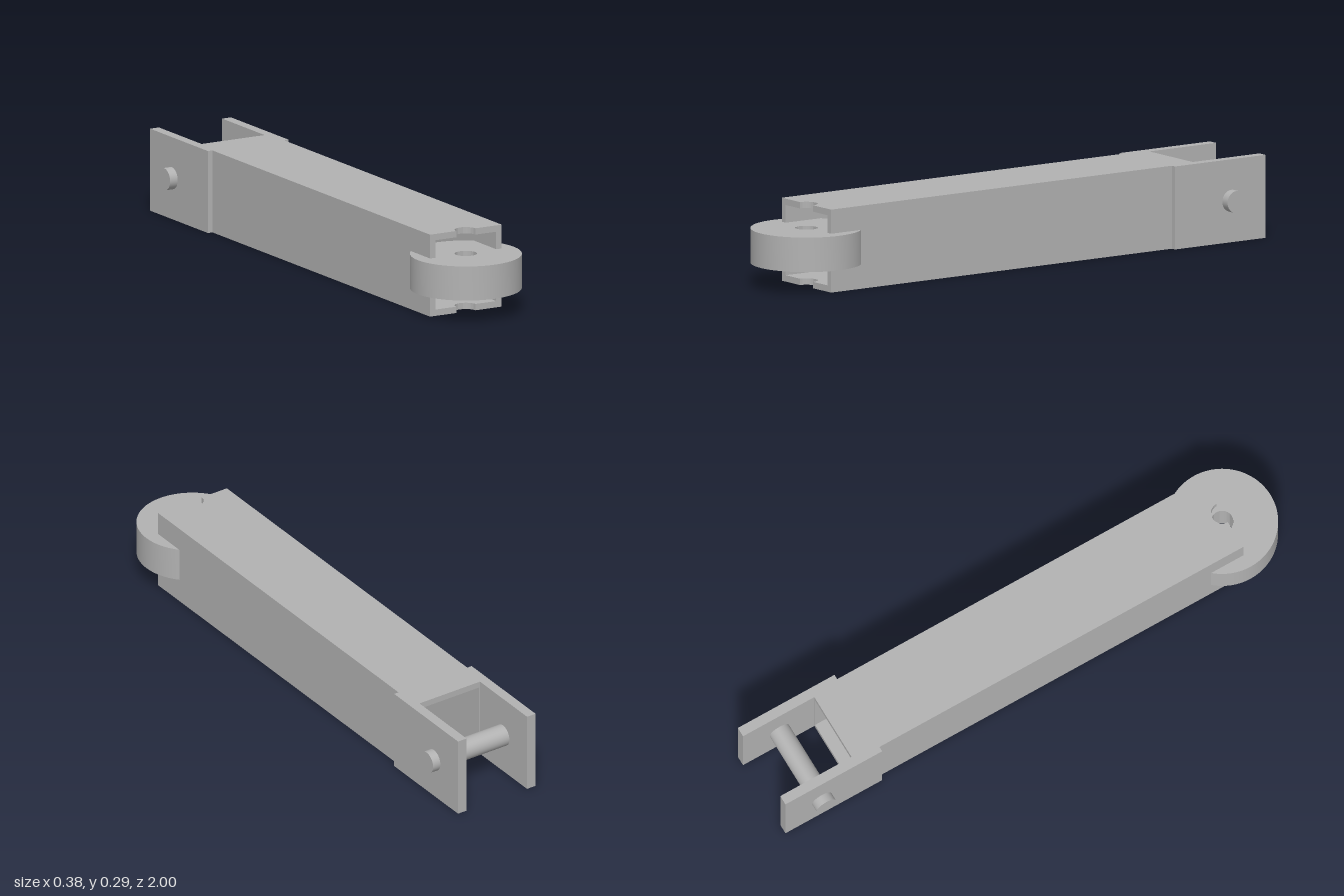
import * as THREE from 'three';
import { toCreasedNormals } from 'three/addons/utils/BufferGeometryUtils.js';

const H = 0.286, WALL = 0.022, HALF = 0.142;   // arm height, wall thickness, half width
const PIVOT_Z = 0.81, HOLE = 0.038;            // wheel axis and bore radius
const TUBE_END = -0.72;

export function createModel() {
  const model = new THREE.Group();
  model.name = 'linkArm';
  const steel = new THREE.MeshStandardMaterial({ color: 0xb2b2b2 });
  steel.name = 'grey steel';

  const add = (name, geometry, x = 0, y = 0, z = 0) => {
    const mesh = new THREE.Mesh(geometry, steel);
    mesh.name = name;
    mesh.position.set(x, y, z);
    model.add(mesh);
    return mesh;
  };

  // Extrudes an (x, z) outline upwards from y = 0
  const slab = (shape, height) => {
    const g = new THREE.ExtrudeGeometry(shape, { depth: height, bevelEnabled: false, curveSegments: 48 });
    g.rotateX(Math.PI / 2).translate(0, height, 0);
    return toCreasedNormals(g, 0.6);
  };

  // Top and bottom of the square tube, with a half-round notch at the front end
  const plate = new THREE.Shape();
  plate.moveTo(-HALF, TUBE_END);
  plate.lineTo(HALF, TUBE_END);
  plate.lineTo(HALF, PIVOT_Z);
  plate.lineTo(HOLE, PIVOT_Z);
  plate.absarc(0, PIVOT_Z, HOLE, 0, Math.PI, true);
  plate.lineTo(-HALF, PIVOT_Z);
  plate.closePath();
  add('tubeBottom', slab(plate, WALL));
  add('tubeTop', slab(plate, WALL), 0, H - WALL);

  // Side walls and the stepped fork cheeks at the back
  for (const [side, s] of [['left', 1], ['right', -1]]) {
    const length = PIVOT_Z - TUBE_END;
    add(side + 'TubeWall', new THREE.BoxGeometry(WALL, H - 2 * WALL, length),
      s * (HALF - WALL / 2), H / 2, (PIVOT_Z + TUBE_END) / 2);

    const cheek = new THREE.Shape([
      [HALF, -0.62], [0.16, -0.62], [0.16, -1], [0.125, -1], [0.125, TUBE_END], [HALF, TUBE_END],
    ].map(([x, z]) => new THREE.Vector2(s * x, z)));
    add(side + 'ForkCheek', slab(cheek, H));
  }

  // Wheel with its bore, held in the front end of the tube
  const disc = new THREE.Shape();
  disc.absarc(0, 0, 0.19, 0, Math.PI * 2, false);
  const bore = new THREE.Path();
  bore.absarc(0, 0, HOLE, 0, Math.PI * 2, true);
  disc.holes.push(bore);
  add('wheel', slab(disc, 0.119), 0, 0.084, PIVOT_Z);

  // Pin through the fork
  const pin = new THREE.CylinderGeometry(0.038, 0.038, 0.38, 48).rotateZ(Math.PI / 2);
  add('forkPin', pin, 0, H / 2, -0.857);

  return model;
}
